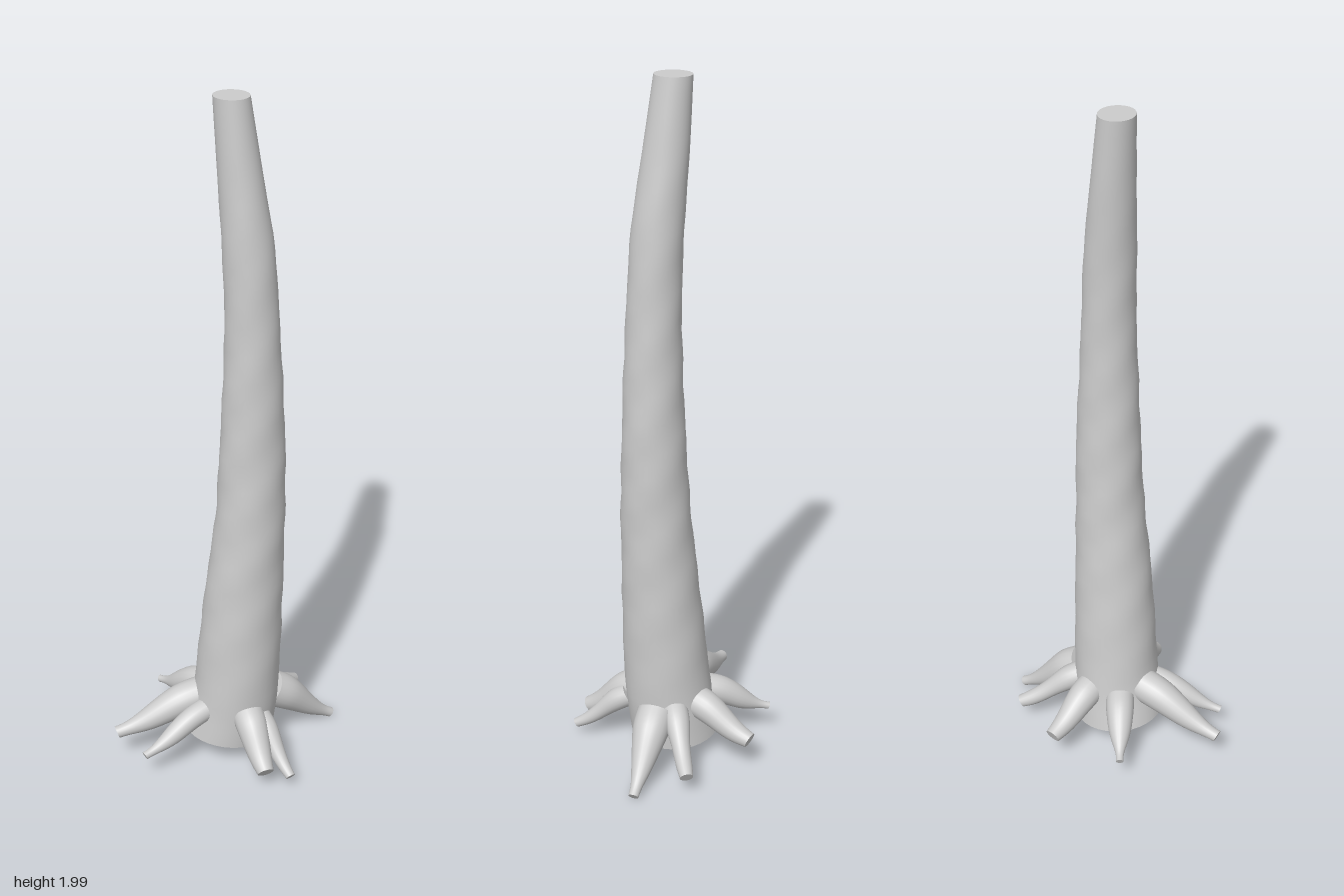
import * as THREE from 'three';

const SIDES = 32;

// Closed solid skinned over equal-sized rings, smooth along the side, sharp at the end caps
function loft(rings) {
  const n = rings[0].length, pos = [], index = [];
  const add = p => pos.push(p.x, p.y, p.z);
  rings.forEach(r => r.forEach(add));
  for (let i = 0; i < rings.length - 1; i++) {
    for (let j = 0; j < n; j++) {
      const a = i * n + j, b = i * n + (j + 1) % n;
      index.push(a, a + n, b, b, a + n, b + n);
    }
  }
  const cap = (ring, flip) => {
    const c = pos.length / 3;
    add(ring.reduce((s, p) => s.add(p), new THREE.Vector3()).divideScalar(n));
    ring.forEach(add);
    for (let j = 0; j < n; j++) {
      const p = c + 1 + j, q = c + 1 + (j + 1) % n;
      if (flip) index.push(c, q, p); else index.push(c, p, q);
    }
  };
  cap(rings[0], false);
  cap(rings[rings.length - 1], true);
  const g = new THREE.BufferGeometry();
  g.setAttribute('position', new THREE.Float32BufferAttribute(pos, 3));
  g.setIndex(index);
  g.computeVertexNormals();
  return g;
}

// Trunk sections: height, min x, max x, min z, max z
const TRUNK = [
  [0.07, -0.133, 0.133, -0.145, 0.118],
  [0.2, -0.108, 0.143, -0.125, 0.128],
  [0.4, -0.09, 0.148, -0.106, 0.13],
  [0.6, -0.07, 0.15, -0.087, 0.127],
  [0.8, -0.046, 0.15, -0.071, 0.124],
  [1.0, -0.035, 0.149, -0.06, 0.116],
  [1.2, -0.026, 0.139, -0.051, 0.11],
  [1.4, -0.02, 0.127, -0.047, 0.101],
  [1.6, -0.025, 0.114, -0.05, 0.09],
  [1.8, -0.032, 0.085, -0.058, 0.066],
  [2.0, -0.04, 0.056, -0.061, 0.042],
];

function trunkGeometry() {
  const centre = new THREE.CatmullRomCurve3(
    TRUNK.map(([y, x0, x1, z0, z1]) => new THREE.Vector3((x0 + x1) / 2, y, (z0 + z1) / 2)));
  const radius = new THREE.CatmullRomCurve3(
    TRUNK.map(([y, x0, x1, z0, z1]) => new THREE.Vector3((x1 - x0) / 2, y, (z1 - z0) / 2)));
  const rings = [], steps = 50;
  for (let i = 0; i <= steps; i++) {
    const t = i / steps, c = centre.getPoint(t), r = radius.getPoint(t);
    const tilt = 0.11 * Math.max(0, 1 - t / 0.12); // slanted cut at the base
    const rough = 0.025 * Math.sin(Math.PI * t);
    rings.push(Array.from({ length: SIDES }, (_, j) => {
      const a = j / SIDES * Math.PI * 2;
      // gentle bark lumps
      const k = 1 + rough * (Math.sin(3 * a + 31 * c.y) + Math.sin(5 * a - 47 * c.y + 1)) / 2;
      const x = c.x + Math.cos(a) * r.x * k;
      return new THREE.Vector3(x, c.y - tilt * x, c.z + Math.sin(a) * r.z * k);
    }));
  }
  return loft(rings);
}

// Roots: start point, tip point, radii at start, middle and tip
const ROOTS = [
  ['leftSideRoot', [0.13, 0.175, -0.005], [0.337, 0.022, -0.022], 0.054, 0.036, 0.015],
  ['rightSideRoot', [-0.08, 0.195, -0.022], [-0.342, 0.105, -0.03], 0.05, 0.038, 0.018],
  ['rightFrontRoot', [-0.08, 0.18, 0.038], [-0.292, 0.093, 0.09], 0.034, 0.028, 0.012],
  ['frontRoot', [0.02, 0.18, 0.105], [0.022, 0.075, 0.257], 0.047, 0.038, 0.024],
  ['frontLeftRoot', [0.055, 0.165, 0.11], [0.095, 0.05, 0.268], 0.034, 0.024, 0.014],
  ['backLeftRoot', [0.1, 0.185, -0.05], [0.265, 0.075, -0.155], 0.038, 0.027, 0.019],
  ['backRoot', [0.045, 0.19, -0.09], [0.08, 0.115, -0.276], 0.046, 0.037, 0.023],
  ['backRightRoot', [-0.045, 0.18, -0.09], [-0.138, 0.1, -0.258], 0.042, 0.032, 0.011],
];

function rootGeometry(start, tip, r0, r1, r2) {
  const from = new THREE.Vector3(...start), to = new THREE.Vector3(...tip);
  const dir = to.clone().sub(from).normalize();
  const u = new THREE.Vector3(-dir.z, 0, dir.x).normalize();
  const v = u.clone().cross(dir);
  const radius = new THREE.SplineCurve([[0, r0], [0.25, r0 * 0.97], [0.55, r1], [0.85, r2 * 1.2], [1, r2]]
    .map(p => new THREE.Vector2(...p)));
  const rings = [];
  for (let i = 0; i <= 16; i++) {
    const { x: t, y: r } = radius.getPoint(i / 16);
    const c = from.clone().lerp(to, t);
    c.y += 0.006 * Math.sin(t * Math.PI * 2); // slight sag along the length
    rings.push(Array.from({ length: 20 }, (_, j) => {
      const a = j / 20 * Math.PI * 2;
      return c.clone().addScaledVector(u, Math.cos(a) * r).addScaledVector(v, Math.sin(a) * r);
    }));
  }
  return loft(rings);
}

export function createModel() {
  const model = new THREE.Group();
  model.name = 'treeTrunk';
  const bark = new THREE.MeshStandardMaterial({ color: 0xcccccc });
  bark.name = 'pale grey bark';

  const add = (name, geometry) => {
    const mesh = new THREE.Mesh(geometry, bark);
    mesh.name = name;
    model.add(mesh);
  };
  add('trunk', trunkGeometry());
  for (const [name, ...shape] of ROOTS) add(name, rootGeometry(...shape));
  return model;
}
